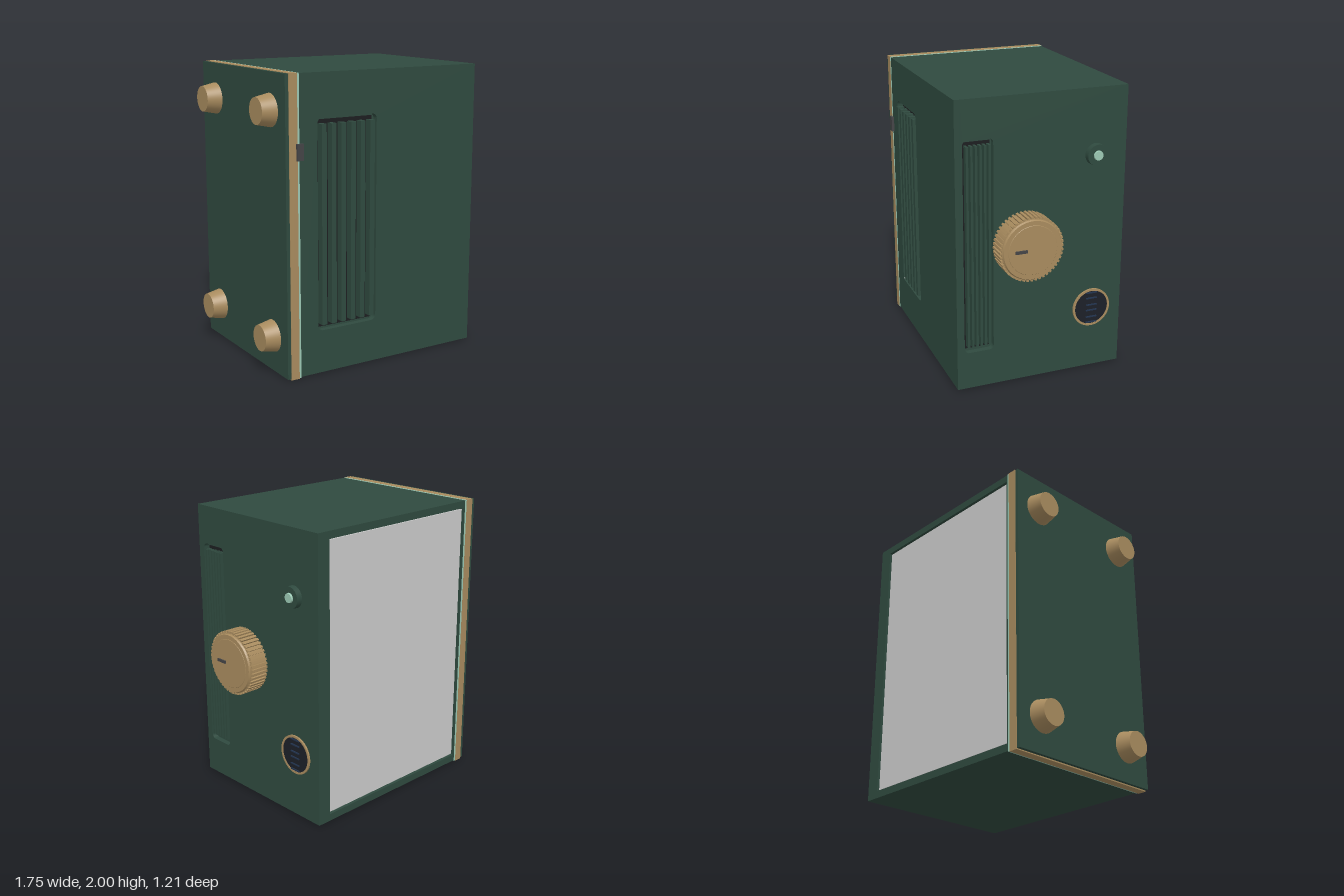
import * as THREE from 'three';

const mat = (color) => new THREE.MeshStandardMaterial({ color });

export function createModel() {
  const root = new THREE.Group();
  const green = mat(0x2f4a3f), gold = mat(0xa88b5e), mint = mat(0x9cc9b4);
  const dark = mat(0x1c1e20), slate = mat(0x444446), navy = mat(0x1c2028);
  const blue = mat(0x22344f), grey = mat(0xcccccc);

  const add = (name, geo, m, parent = root) => {
    const mesh = new THREE.Mesh(geo, m);
    mesh.name = name;
    parent.add(mesh);
    return mesh;
  };
  // Box given by its extents
  const block = (name, m, x0, x1, y0, y1, z0, z1, parent) => {
    const g = new THREE.BoxGeometry(x1 - x0, y1 - y0, z1 - z0);
    g.translate((x0 + x1) / 2, (y0 + y1) / 2, (z0 + z1) / 2);
    return add(name, g, m, parent);
  };
  // Cylinder along x, from x0 (radius r0) to x1 (radius r1)
  const disc = (name, m, x0, x1, r0, r1, y, z, parent) => {
    const g = new THREE.CylinderGeometry(r1, r0, Math.abs(x1 - x0), 48);
    g.rotateZ(x1 > x0 ? -Math.PI / 2 : Math.PI / 2);
    g.translate((x0 + x1) / 2, y, z);
    return add(name, g, m, parent);
  };
  const roundRect = (target, x0, x1, y0, y1, r) => {
    target.moveTo(x0 + r, y0).lineTo(x1 - r, y0);
    target.absarc(x1 - r, y0 + r, r, -Math.PI / 2, 0);
    target.absarc(x1 - r, y1 - r, r, 0, Math.PI / 2);
    target.absarc(x0 + r, y1 - r, r, Math.PI / 2, Math.PI);
    target.absarc(x0 + r, y0 + r, r, Math.PI, Math.PI * 1.5);
    return target;
  };
  // Flat wall with one opening, extruded along z
  const wall = (x0, x1, hole, depth) => {
    const s = new THREE.Shape();
    s.moveTo(x0, Y0).lineTo(x1, Y0).lineTo(x1, Y1).lineTo(x0, Y1).closePath();
    s.holes.push(roundRect(new THREE.Path(), ...hole));
    return new THREE.ExtrudeGeometry(s, { depth, bevelEnabled: false, curveSegments: 8 });
  };

  const Y0 = 0.008, Y1 = 1.997, XL = -0.676, XR = 0.718, ZF = 0.587, ZB = -0.605, T = 0.04;

  // Cabinet: solid core with a pierced front, side and back skin
  const cabinet = new THREE.Group();
  cabinet.name = 'cabinet';
  root.add(cabinet);
  block('core', green, XL, XR - T, Y0, Y1, ZB + 0.03, ZF - T, cabinet);
  add('frontWall', wall(XL, XR, [-0.543, -0.093, 0.3, 1.71, 0.035], T), green, cabinet)
    .position.z = ZF - T;
  const side = wall(-(ZF - T), -(ZB + 0.03), [-0.535, -0.33, 0.27, 1.735, 0.03], T);
  side.rotateY(Math.PI / 2);
  add('sideWall', side, green, cabinet).position.x = XR - T;
  add('backFrame', wall(XL, XR, [-0.664, 0.62, 0.058, 1.946, 0.001], 0.03), green, cabinet)
    .position.z = ZB;
  block('backPanel', grey, -0.657, 0.612, 0.066, 1.938, ZB + 0.012, ZB + 0.031, cabinet);

  // Vents: dark floor with upright fins
  const frontVent = new THREE.Group();
  frontVent.name = 'frontVent';
  const sideVent = new THREE.Group();
  sideVent.name = 'sideVent';
  root.add(frontVent, sideVent);
  block('frontVentFloor', dark, -0.527, -0.11, 0.315, 1.695, ZF - T - 0.01, ZF - T + 0.004, frontVent);
  block('sideVentFloor', dark, XR - T - 0.01, XR - T + 0.004, 0.29, 1.715, 0.342, 0.522, sideVent);
  for (let i = 0; i < 6; i++) {
    const x = -0.502 + i * 0.0735, z = 0.357 + i * 0.03;
    block('frontVentFin', green, x - 0.018, x + 0.018, 0.34, 1.67, ZF - T, 0.602, frontVent);
    block('sideVentFin', green, XR - T, 0.725, 0.312, 1.695, z - 0.008, z + 0.008, sideVent);
  }

  // Base end: pale seam, gold band, end plate and feet
  block('seamStrip', mint, -0.69, XL, 0.003, 1.999, ZB - 0.002, ZF + 0.002);
  block('goldBand', gold, -0.75, -0.69, 0, 2, ZB - 0.004, ZF + 0.004);
  block('endPlate', green, -0.774, -0.75, Y0, Y1, ZB, ZF);
  for (const y of [0.254, 1.754])
    for (const z of [-0.409, 0.387]) disc('foot', gold, -0.774, -0.875, 0.109, 0.088, y, z);
  block('latchTab', slate, -0.7, -0.652, 1.45, 1.557, 0.57, 0.605);

  // Ribbed knob with cap and pointer
  const knob = new THREE.Group();
  knob.name = 'knob';
  knob.position.set(0, 1.003, 0.114);
  root.add(knob);
  disc('knobBody', gold, XR, 0.85, 0.21, 0.21, 0, 0, knob);
  disc('knobCap', gold, 0.85, 0.861, 0.207, 0.2, 0, 0, knob);
  disc('knobFace', gold, 0.861, 0.863, 0.17, 0.168, 0, 0, knob);
  const ribs = 48;
  for (let i = 0; i < ribs; i++) {
    const rib = block('knobRib', gold, XR, 0.848, 0.2, 0.222, -0.008, 0.008, knob);
    rib.rotation.x = (i / ribs) * Math.PI * 2;
  }
  block('knobPointer', slate, 0.855, 0.872, -0.01, 0.01, 0.04, 0.121, knob);

  // Push button
  disc('buttonCollar', green, XR, 0.757, 0.074, 0.072, 1.553, -0.384);
  disc('buttonLight', mint, 0.757, 0.77, 0.033, 0.031, 1.553, -0.384);

  // Round display: gold bezel, dark glass and raised indicator bars
  const display = new THREE.Group();
  display.name = 'display';
  display.position.set(0, 0.456, -0.384);
  root.add(display);
  const ring = new THREE.LatheGeometry(
    [[0.122, 0], [0.137, 0], [0.137, 0.012], [0.122, 0.012], [0.122, 0]].map((p) => new THREE.Vector2(...p)), 48);
  ring.rotateZ(-Math.PI / 2);
  add('displayBezel', ring, new THREE.MeshStandardMaterial({ color: 0xa88b5e, side: THREE.DoubleSide, flatShading: true }), display)
    .position.x = XR;
  disc('displayGlass', navy, XR, 0.726, 0.123, 0.123, 0, 0, display);
  for (const y of [-0.09, 0, 0.09])
    for (const s of [-1, 1])
      block('displayBar', blue, 0.726, 0.734, y + s * 0.02 - 0.004, y + s * 0.02 + 0.004, -0.04, 0.04, display);

  return root;
}
